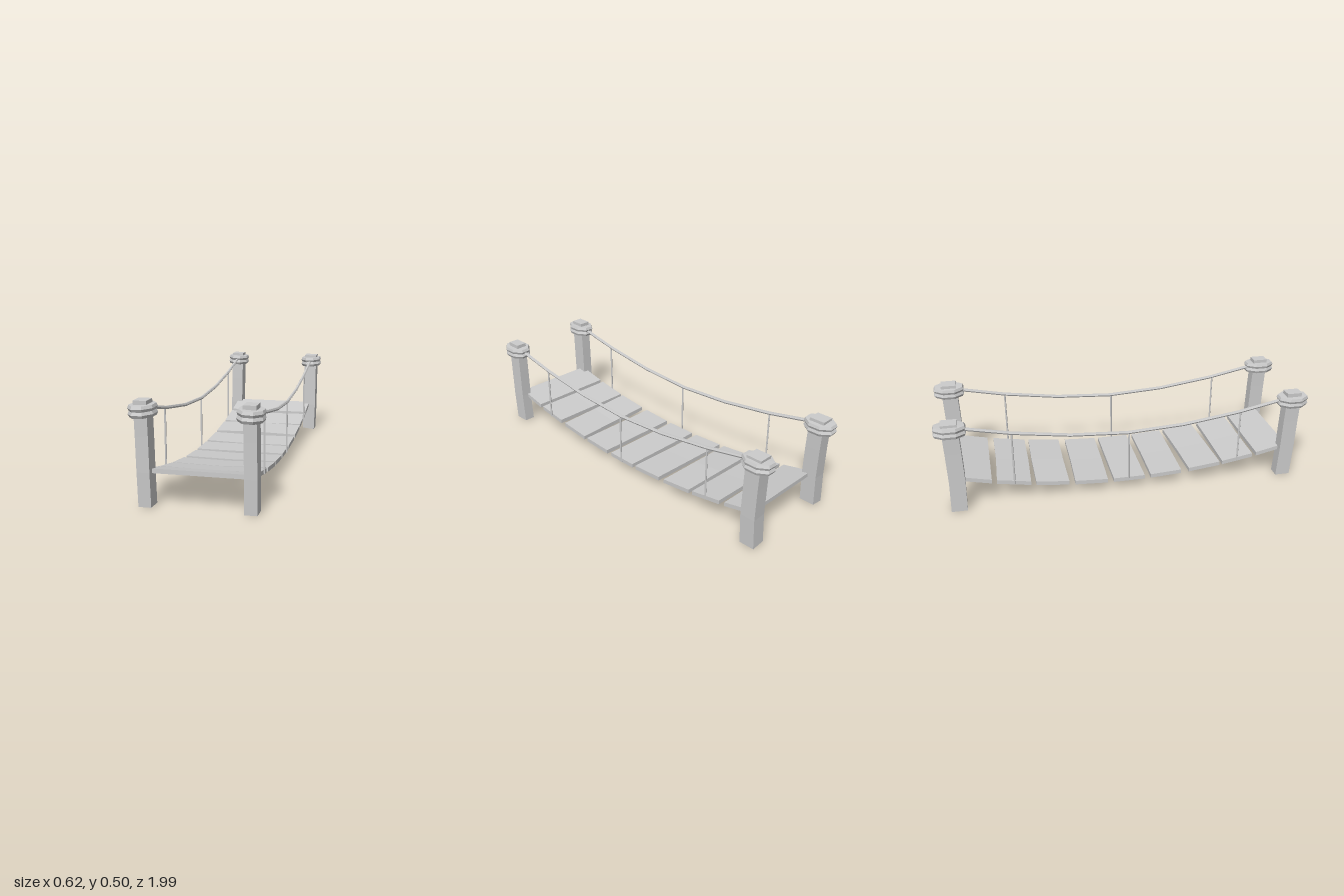
import * as THREE from 'three';

const material = new THREE.MeshStandardMaterial({ color: 0xcccccc, flatShading: true });

function addMesh(parent, geometry, name) {
  const mesh = new THREE.Mesh(geometry, material);
  mesh.name = name;
  parent.add(mesh);
  return mesh;
}

// Moves every vertex of a geometry by a rule
function reshape(geometry, rule) {
  const pos = geometry.attributes.position;
  const v = new THREE.Vector3();
  for (let i = 0; i < pos.count; i++) {
    rule(v.fromBufferAttribute(pos, i));
    pos.setXYZ(i, v.x, v.y, v.z);
  }
  geometry.computeVertexNormals();
  return geometry;
}

// Height of the sagging deck at z
const deckY = (z) => 0.065 + 0.135 * z * z;

// Crooked timber post; levels are [x, z] centres from foot to top
function makePost(name, levels, width, depth, top, footTilt, capTilt) {
  const post = new THREE.Group();
  post.name = name;
  const n = levels.length - 1;
  const timber = reshape(new THREE.BoxGeometry(1, 1, 1, 1, n, 1), (v) => {
    const t = v.y + 0.5;
    const [cx, cz] = levels[Math.round(t * n)];
    const y = 0.007 + t * (top - 0.007) + v.x * footTilt * (1 - t);
    v.set(cx + v.x * width, y, cz + v.z * depth);
  });
  addMesh(post, timber, 'timber');

  // Two coils of rope wrapped round the head of the post
  const profile = [
    [0.5, -0.026], [0.9, -0.028], [1, -0.014], [0.91, 0],
    [1, 0.013], [0.92, 0.027], [0.5, 0.028],
  ].map(([r, y]) => new THREE.Vector2(r, y));
  const coil = addMesh(post, new THREE.LatheGeometry(profile, 8, Math.PI / 8), 'ropeCoil');
  const [hx, hz] = levels[n];
  coil.scale.set(0.065, 1, 0.088);
  coil.position.set(hx, 0.458, hz);
  coil.rotation.z = capTilt;
  return post;
}

export function createModel() {
  const bridge = new THREE.Group();
  bridge.name = 'ropeBridge';

  // Four corner posts
  bridge.add(
    makePost('frontRightPost', [[-0.245, 0.891], [-0.246, 0.9], [-0.247, 0.905], [-0.249, 0.912]],
      0.062, 0.08, 0.505, 0, 0.04),
    makePost('frontLeftPost', [[0.25, 0.891], [0.251, 0.9], [0.25, 0.905], [0.248, 0.912]],
      0.06, 0.08, 0.505, 0, -0.04),
    makePost('backRightPost', [[-0.253, -0.903], [-0.25, -0.9], [-0.247, -0.905], [-0.247, -0.912]],
      0.07, 0.083, 0.5, 0.008, -0.04),
    makePost('backLeftPost', [[0.243, -0.903], [0.248, -0.9], [0.248, -0.905], [0.248, -0.912]],
      0.074, 0.083, 0.5, -0.008, 0.04),
  );

  // Planks: [back edge z, front edge z, skew across x, bow at the middle]
  const planks = [
    [-0.894, -0.725, 0, 0], [-0.695, -0.517, 0.008, 0.004], [-0.492, -0.315, 0.004, -0.004],
    [-0.28, -0.102, 0.01, 0.003], [-0.074, 0.098, 0, 0], [0.132, 0.304, 0, 0.003],
    [0.338, 0.514, -0.021, 0.005], [0.54, 0.712, 0, 0.003], [0.735, 0.905, 0, 0],
  ];
  const deck = new THREE.Group();
  deck.name = 'deck';
  bridge.add(deck);
  planks.forEach(([back, front, skew, bow], i) => {
    const mid = (back + front) / 2;
    const slope = 0.27 * mid;
    const plank = reshape(new THREE.BoxGeometry(1, 1, 1, 2, 1, 1), (v) => {
      const middle = Math.abs(v.x) < 0.1 ? bow : 0;
      const z = v.z * (front - back) + skew * v.x + middle;
      v.set(-0.002 + v.x * 0.486, deckY(mid) + slope * z + v.y * 0.022 - middle, mid + z);
    });
    addMesh(deck, plank, `plank${i + 1}`);
  });

  // Sagging hand ropes with hanging cords
  const ropePoints = [
    [0.47, -0.905], [0.408, -0.6], [0.366, -0.3], [0.349, 0],
    [0.366, 0.3], [0.408, 0.6], [0.47, 0.905],
  ];
  for (const side of [-1, 1]) {
    const x = 0.247 * side;
    const rail = new THREE.Group();
    rail.name = side < 0 ? 'rightRail' : 'leftRail';
    bridge.add(rail);
    const curve = new THREE.CatmullRomCurve3(ropePoints.map(([y, z]) => new THREE.Vector3(x, y, z)));
    addMesh(rail, new THREE.TubeGeometry(curve, 6, 0.009, 6), 'handRope');
    for (const z of [-0.607, 0.008, 0.623]) {
      const topY = 0.349 + 0.162 * z * z;
      const bottomY = deckY(z) - 0.005;
      const cord = addMesh(rail, new THREE.CylinderGeometry(0.005, 0.005, topY - bottomY, 6), 'hangingCord');
      cord.position.set(x, (topY + bottomY) / 2, z);
    }
  }
  return bridge;
}
